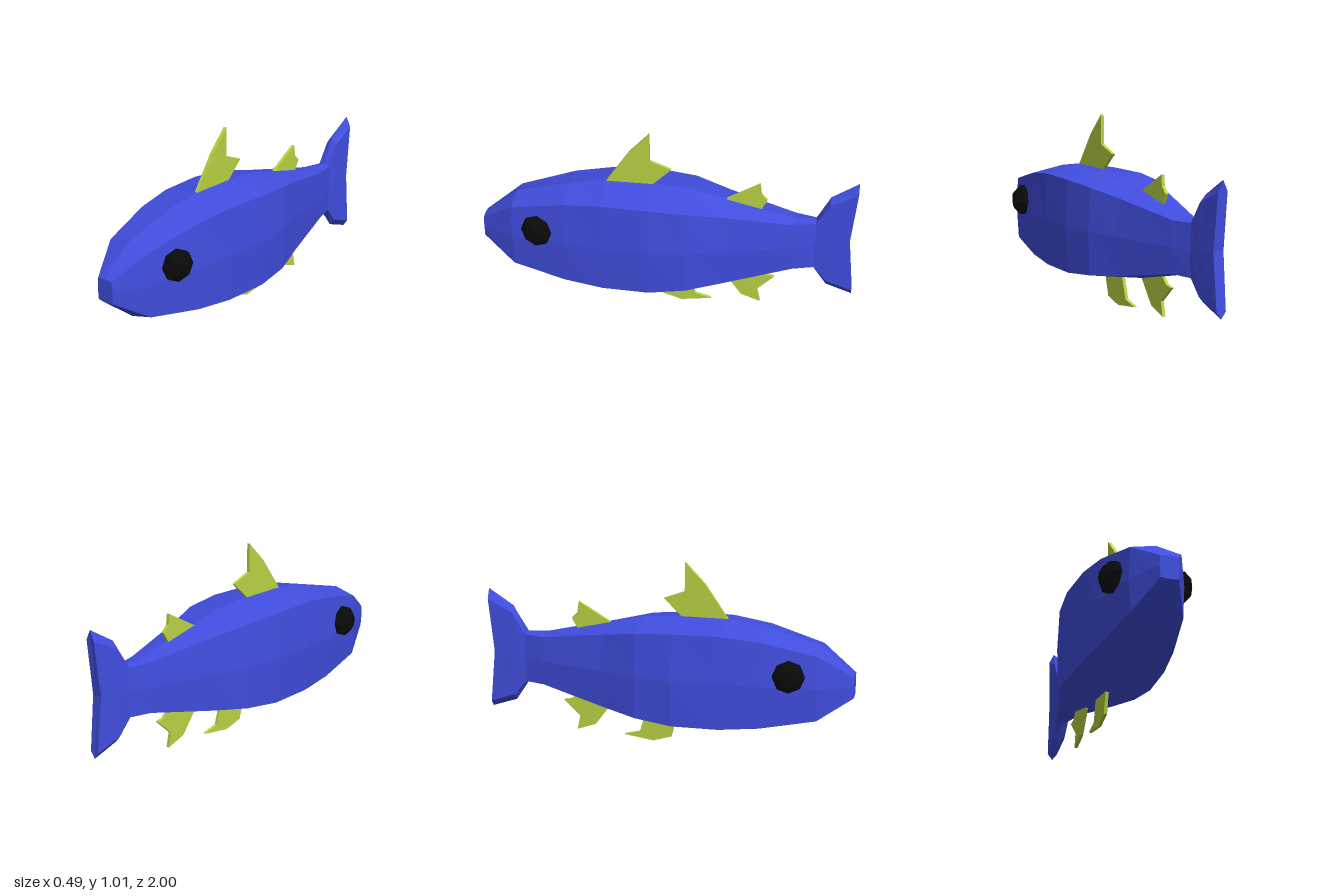
import * as THREE from 'three';

const mat = (name, color) => {
  const m = new THREE.MeshStandardMaterial({ color, flatShading: true });
  m.name = name;
  return m;
};

// Loft of six-sided rings, nose to tail.
// Section: [z, ridge y, upper corner y, lower corner y, keel y, corner half width, middle half width, middle z shift]
function loft(sections) {
  const pos = [], idx = [], n = 6;
  for (const [z, top, up, low, keel, w, m, dz = 0] of sections) {
    const mid = (up + low) / 2;
    pos.push(0, top, z, w, up, z, m, mid, z + dz, w, low, z, 0, keel, z, -w, low, z, -m, mid, z + dz, -w, up, z);
  }
  const ring = n + 2, last = (sections.length - 1) * ring;
  for (let s = 0; s < last; s += ring) {
    for (let i = 0; i < ring; i++) {
      const j = (i + 1) % ring;
      const a = s + i, b = s + j, c = b + ring, d = a + ring;
      idx.push(a, b, c, a, c, d);
    }
  }
  // End caps around a centre point
  for (const [start, sec, front] of [[0, sections[0], true], [last, sections.at(-1), false]]) {
    const centre = pos.length / 3;
    pos.push(0, (sec[2] + sec[3]) / 2, sec[0] + (sec[7] ?? 0));
    for (let i = 0; i < ring; i++) {
      const a = start + i, b = start + (i + 1) % ring;
      idx.push(centre, front ? b : a, front ? a : b);
    }
  }
  const g = new THREE.BufferGeometry();
  g.setAttribute('position', new THREE.Float32BufferAttribute(pos, 3));
  g.setIndex(idx);
  g.computeVertexNormals();
  return g;
}

// Thin plate in the z-y plane from [z, y] points
function finGeometry(points, t = 0.018) {
  const shape = new THREE.Shape(points.map(([z, y]) => new THREE.Vector2(z, y)));
  return new THREE.ExtrudeGeometry(shape, { depth: t, bevelEnabled: false })
    .translate(0, 0, -t / 2)
    .rotateY(-Math.PI / 2);
}

export function createModel() {
  const group = new THREE.Group();
  const blue = mat('blue skin', 0x414ee0);
  const lime = mat('lime fin', 0xbad344);
  const black = mat('black eye', 0x0a0a0a);
  const add = (name, geometry, material) => {
    const mesh = new THREE.Mesh(geometry, material);
    mesh.name = name;
    group.add(mesh);
    return mesh;
  };

  // Body
  const peduncle = [-0.79, 0.575, 0.567, 0.298, 0.285, 0.034, 0.038];
  add('body', loft([
    [1.0, 0.465, 0.46, 0.345, 0.34, 0.046, 0.05],
    [0.82, 0.61, 0.582, 0.235, 0.203, 0.132, 0.142],
    [0.53, 0.685, 0.655, 0.19, 0.157, 0.188, 0.203],
    [0.32, 0.72, 0.68, 0.175, 0.14, 0.216, 0.228],
    [0.07, 0.72, 0.68, 0.178, 0.146, 0.23, 0.244],
    [-0.13, 0.702, 0.665, 0.2, 0.166, 0.212, 0.223],
    [-0.32, 0.66, 0.63, 0.227, 0.198, 0.152, 0.165],
    [-0.68, 0.575, 0.567, 0.298, 0.287, 0.066, 0.073],
    peduncle,
  ]), blue);

  // Tail fin with a notched trailing edge
  add('tailFin', loft([
    peduncle,
    [-0.86, 0.715, 0.68, 0.215, 0.178, 0.032, 0.036],
    [-1.0, 0.805, 0.75, 0.165, 0.13, 0.027, 0.03, 0.03],
  ]), blue);

  // Fins on the centre line
  const fins = {
    frontDorsalFin: [[0.34, 0.7], [0.325, 0.72], [0.2, 0.9], [0.095, 1.01], [0.093, 0.853], [-0.02, 0.81], [0.08, 0.715], [0.08, 0.69]],
    rearDorsalFin: [[-0.31, 0.63], [-0.315, 0.66], [-0.49, 0.763], [-0.497, 0.705], [-0.53, 0.67], [-0.5, 0.615], [-0.48, 0.59]],
    pelvicFin: [[0.055, 0.17], [0.05, 0.145], [0.02, 0.035], [-0.08, 0.004], [-0.243, 0.027], [-0.155, 0.05], [-0.122, 0.165], [-0.12, 0.19]],
    analFin: [[-0.31, 0.23], [-0.315, 0.195], [-0.405, 0.072], [-0.51, 0.034], [-0.493, 0.113], [-0.583, 0.2], [-0.54, 0.208], [-0.505, 0.245], [-0.48, 0.265]],
  };
  for (const [name, points] of Object.entries(fins)) add(name, finGeometry(points), lime);

  // Domed octagonal eyes, turned slightly forward
  const profile = [[0.05, -0.045], [0.085, -0.005], [0.084, 0.02], [0.046, 0.055], [0, 0.062]]
    .map(([r, h]) => new THREE.Vector2(r, h));
  const eyeGeometry = new THREE.LatheGeometry(profile, 8).rotateZ(-Math.PI / 2);
  for (const side of [1, -1]) {
    const eye = add(side > 0 ? 'leftEye' : 'rightEye', eyeGeometry, black);
    eye.position.set(side * 0.175, 0.48, 0.675);
    eye.rotation.y = side > 0 ? -0.27 : Math.PI + 0.27;
  }
  return group;
}
